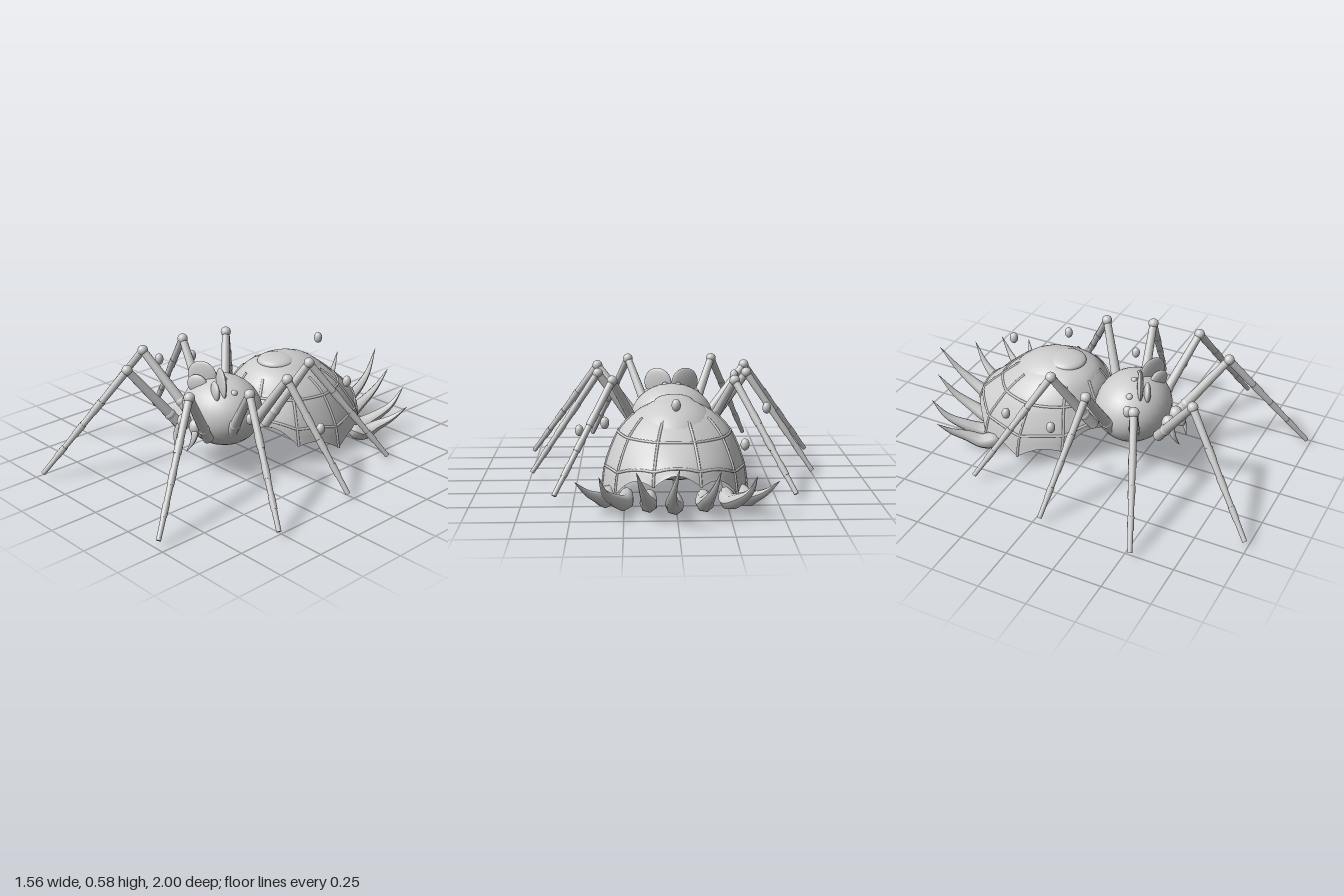
import * as THREE from 'three';

const V = (x, y, z) => new THREE.Vector3(x, y, z);

export function createModel() {
  const root = new THREE.Group();
  const grey = new THREE.MeshStandardMaterial({ color: 0xcccccc, side: THREE.DoubleSide });
  grey.name = 'plain grey';

  const add = (name, geo, parent = root) => {
    const m = new THREE.Mesh(geo, grey);
    m.name = name;
    parent.add(m);
    return m;
  };
  const ball = (name, p, rx, ry = rx, rz = rx, parent = root) => {
    const m = add(name, new THREE.SphereGeometry(1, 28, 18), parent);
    m.position.copy(p);
    m.scale.set(rx, ry, rz);
    return m;
  };
  // straight tapered rod from a to b
  const rod = (name, a, b, ra, rb, parent = root) => {
    const d = b.clone().sub(a);
    const m = add(name, new THREE.CylinderGeometry(rb, ra, d.length(), 12), parent);
    m.position.copy(a).addScaledVector(d, 0.5);
    m.quaternion.setFromUnitVectors(V(0, 1, 0), d.normalize());
    return m;
  };
  // curved horn: a tube that swells from a closed root and shrinks to its tip
  const horn = (name, pts, r, sides = 7) => {
    const curve = new THREE.CatmullRomCurve3(pts);
    const n = 24, geo = new THREE.TubeGeometry(curve, n, 1, sides, false);
    const pos = geo.attributes.position, v = V();
    for (let i = 0; i < pos.count; i++) {
      const t = Math.floor(i / (sides + 1)) / n;
      const c = curve.getPointAt(t);
      const w = r * Math.min(1, Math.sqrt(5 * t)) * Math.pow(1 - t, 0.95) * 1.15 + 0.001;
      v.fromBufferAttribute(pos, i).sub(c).multiplyScalar(w).add(c);
      pos.setXYZ(i, v.x, v.y, v.z);
    }
    geo.computeVertexNormals();
    add(name, geo);
  };

  // bodies
  ball('headBody', V(0, 0.305, 0.185), 0.22, 0.182, 0.195);
  ball('face', V(0, 0.32, 0.255), 0.165, 0.12, 0.122);
  ball('abdomen', V(0, 0.29, -0.25), 0.235, 0.205, 0.275);
  ball('abdomenCap', V(0, 0.466, -0.2), 0.1, 0.035, 0.1);

  // draped shell over the abdomen
  const RIBS = 10;
  const ribAngle = i => (i + 0.5) / RIBS * Math.PI * 2;
  const outer = new THREE.CatmullRomCurve3(
    [[0.04, 0.478], [0.1, 0.465], [0.19, 0.425], [0.28, 0.335], [0.345, 0.215], [0.362, 0.14]].map(([r, y]) => V(r, y, 0)));
  const depth = new THREE.CatmullRomCurve3(
    [[0.04, -0.2], [0.1, -0.21], [0.2, -0.24], [0.285, -0.27], [0.375, -0.3], [0.39, -0.31]].map(([r, z]) => V(r, z, 0)));
  const shellPoint = (a, t) => {
    const o = outer.getPoint(t), d = depth.getPoint(t);
    const s = Math.max(0, t - 0.6) / 0.4;
    const scallop = Math.abs(Math.cos(a * RIBS / 2));
    // lowest at the sides, a little lower behind than in front
    const hem = 0.045 + 0.02 * Math.cos(a) - 0.14 * Math.sin(a) ** 2;
    const y = o.y + s * hem + s * s * 0.045 * scallop;
    const tuck = 1 - 0.025 * scallop * t;
    return V(Math.sin(a) * o.x * tuck, y, d.y + Math.cos(a) * d.x * tuck);
  };
  const cols = RIBS * 8, rows = 20, verts = [], index = [];
  for (let j = 0; j <= rows; j++)
    for (let i = 0; i <= cols; i++) verts.push(...shellPoint(i / cols * Math.PI * 2, j / rows).toArray());
  for (let j = 0; j < rows; j++)
    for (let i = 0; i < cols; i++) {
      const a = j * (cols + 1) + i, b = a + cols + 1;
      index.push(a, b, a + 1, a + 1, b, b + 1);
    }
  const shell = new THREE.BufferGeometry();
  shell.setAttribute('position', new THREE.Float32BufferAttribute(verts, 3));
  shell.setIndex(index);
  shell.computeVertexNormals();
  add('shell', shell);

  // web of ribs and rings on the shell
  for (let i = 0; i < RIBS; i++) {
    const pts = [];
    for (let k = 0; k <= 8; k++) pts.push(shellPoint(ribAngle(i), 0.42 + 0.58 * k / 8));
    add('webRib', new THREE.TubeGeometry(new THREE.CatmullRomCurve3(pts), 16, 0.007, 6));
  }
  for (const t of [0.6, 0.8]) {
    const pts = [];
    for (let i = 0; i < RIBS * 4; i++) pts.push(shellPoint(ribAngle(i / 4), t));
    add('webRing', new THREE.TubeGeometry(new THREE.CatmullRomCurve3(pts, true), 120, 0.007, 6, true));
  }

  // fan of tail horns, each from root (bx, bz) to tip (tx, ty, tz)
  const tail = (bx, bz, tx, ty, tz, curl = 0) => horn('tailHorn', [
    V(bx, 0.095, bz + 0.08),
    V(bx + (tx - bx) * 0.12, 0.055, bz - 0.01),
    V(bx + (tx - bx) * 0.4 + curl, 0.05 + ty * 0.18, bz + (tz - bz) * 0.42),
    V(bx + (tx - bx) * 0.72 + curl, 0.03 + ty * 0.5, bz + (tz - bz) * 0.74),
    V(tx, ty, tz)], 0.047);
  tail(0.01, -0.62, 0, 0.32, -1.0, 0.022);
  for (const s of [-1, 1]) {
    tail(s * 0.125, -0.59, s * 0.19, 0.28, -0.89, -s * 0.01);
    tail(s * 0.235, -0.56, s * 0.36, 0.24, -0.82, s * 0.012);
    tail(s * 0.318, -0.52, s * 0.475, 0.19, -0.715, -s * 0.012);
  }

  // legs: hip, knee, foot
  const legs = [
    [V(0.1, 0.23, 0.37), V(0.235, 0.56, 0.6), V(0.455, 0.045, 0.985)],
    [V(0.15, 0.24, 0.26), V(0.4, 0.56, 0.37), V(0.77, 0.045, 0.535)],
    [V(0.17, 0.24, 0.15), V(0.39, 0.56, 0.11), V(0.74, 0.045, 0.035)],
    [V(0.15, 0.22, 0.03), V(0.31, 0.56, -0.125), V(0.595, 0.045, -0.425)]];
  for (const s of [-1, 1])
    legs.forEach((leg, n) => {
      const g = new THREE.Group();
      g.name = (s > 0 ? 'left' : 'right') + 'Leg' + (n + 1);
      root.add(g);
      const [hip, knee, foot] = leg.map(p => V(p.x * s, p.y, p.z));
      const at = (a, b, t) => a.clone().lerp(b, t);
      rod('upperLeg', hip, knee, 0.028, 0.02, g);
      ball('hipJoint', at(hip, knee, 0.22), 0.029, 0.029, 0.029, g);
      ball('knee', knee, 0.027, 0.027, 0.027, g);
      rod('lowerLeg', knee, foot, 0.02, 0.012, g);
      for (const t of [0.3, 0.52, 0.74])
        rod('legBand', at(knee, foot, t), at(knee, foot, t + 0.1), 0.0225 - 0.008 * t, 0.0215 - 0.008 * t, g);
    });

  // eyes, eye discs and mouth parts
  for (const s of [-1, 1]) {
    const disc = ball('eyeDisc', V(s * 0.072, 0.482, 0.252), 0.08, 0.08, 0.016);
    disc.rotation.y = -s * 0.45;
    const inner = ball('innerDisc', V(s * 0.068, 0.45, 0.29), 0.055, 0.05, 0.018);
    inner.rotation.y = -s * 0.45;
    ball('backEye', V(s * 0.035, 0.478, 0.2), 0.016);
    ball('sideEye', V(s * 0.13, 0.438, 0.22), 0.018);
    ball('jaw', V(s * 0.045, 0.285, 0.4), 0.036, 0.042, 0.036);
    horn('fang', [V(s * 0.055, 0.28, 0.41), V(s * 0.065, 0.225, 0.44), V(s * 0.045, 0.17, 0.465)], 0.02);
  }

  // ring of floating beads at three heights
  for (let i = 0; i < 8; i++) {
    const a = i * Math.PI / 4;
    ball('bead', V(Math.cos(a) * 0.485, 0.285 + (i % 3) * 0.113, -0.033 - Math.sin(a) * 0.485), 0.022, 0.03, 0.022);
  }
  return root;
}
